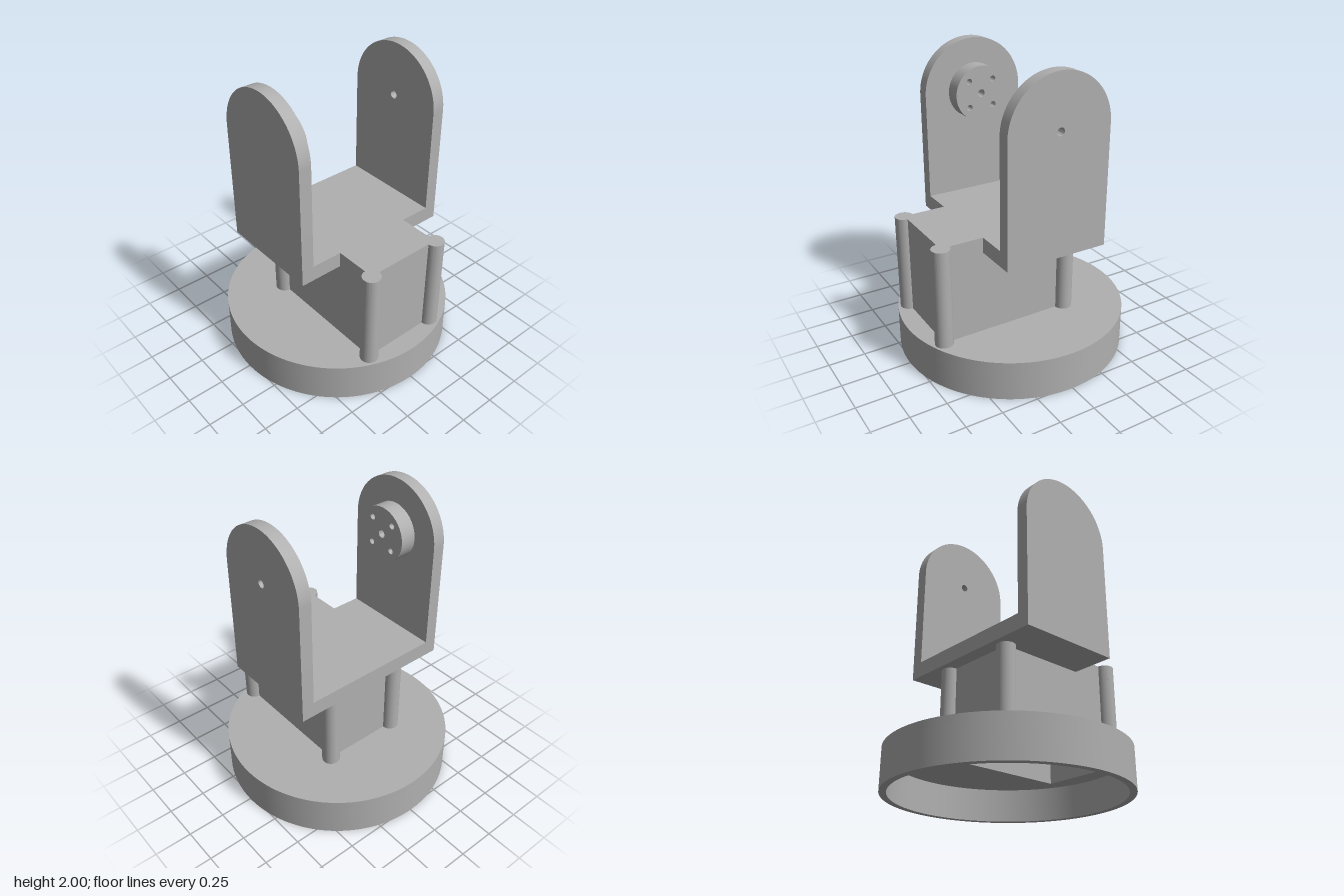
import * as THREE from 'three';
import { toCreasedNormals } from 'three/addons/utils/BufferGeometryUtils.js';

const HALF_W = 0.355, OUTER_Z = 0.565, INNER_Z = 0.48;
const FLOOR_Y = 0.835, FLOOR_TOP = 0.94, PIVOT_Y = 1.645;
const POST_R = 0.06, BOX_Z = 0.27, BOX_X0 = -0.26, BOX_X1 = 0.645;
const PLATE_Y = 0.22, BASE_TOP = 0.27, BASE_R = 0.775;

const rect = (C, x0, x1, y0, y1) => new C([
  new THREE.Vector2(x0, y0), new THREE.Vector2(x1, y0),
  new THREE.Vector2(x1, y1), new THREE.Vector2(x0, y1),
]);
const circle = (C, x, y, r) => new C().absarc(x, y, r, 0, Math.PI * 2, false);

function extrude(shape, depth, segments = 48) {
  const geo = new THREE.ExtrudeGeometry(shape, { depth, bevelEnabled: false, curveSegments: segments });
  return toCreasedNormals(geo, 0.6);
}

export function createModel() {
  const group = new THREE.Group();
  const grey = new THREE.MeshStandardMaterial({ color: 0xb0b0b0 });
  grey.name = 'plain grey';

  const add = (name, geo, x = 0, y = 0, z = 0) => {
    const mesh = new THREE.Mesh(geo, grey);
    mesh.name = name;
    mesh.position.set(x, y, z);
    group.add(mesh);
    return mesh;
  };
  // Extrude a plan outline upward between two heights
  const slab = (name, shape, y0, y1, segments) =>
    add(name, extrude(shape, y1 - y0, segments).rotateX(-Math.PI / 2), 0, y0, 0);
  const cavity = () => rect(THREE.Path, BOX_X0 + POST_R, BOX_X1 - POST_R, -BOX_Z + POST_R, BOX_Z - POST_R);

  // Round base: hollow rim under a plate with a rectangular opening
  const rim = circle(THREE.Shape, 0, 0, BASE_R);
  rim.holes.push(circle(THREE.Path, 0, 0, 0.73));
  slab('baseRim', rim, 0, PLATE_Y, 96);
  const plate = circle(THREE.Shape, 0, 0, BASE_R);
  plate.holes.push(cavity());
  slab('basePlate', plate, PLATE_Y, BASE_TOP, 96);

  // Hollow housing with a round post at each corner
  const housing = rect(THREE.Shape, BOX_X0, BOX_X1, -BOX_Z, BOX_Z);
  housing.holes.push(cavity());
  slab('housing', housing, BASE_TOP, FLOOR_Y);
  const postHeight = FLOOR_Y - BASE_TOP;
  for (const x of [BOX_X0, BOX_X1]) {
    for (const z of [-BOX_Z, BOX_Z]) {
      add('cornerPost', new THREE.CylinderGeometry(POST_R, POST_R, postHeight, 40),
        x, BASE_TOP + postHeight / 2, z);
    }
  }

  // Bracket floor, extended over the housing and its two outer posts
  const floor = new THREE.Shape();
  floor.moveTo(-HALF_W, -OUTER_Z);
  floor.lineTo(-HALF_W, OUTER_Z);
  floor.lineTo(HALF_W, OUTER_Z);
  floor.lineTo(HALF_W, BOX_Z);
  floor.lineTo(BOX_X1 - POST_R, BOX_Z);
  floor.absarc(BOX_X1, BOX_Z, POST_R, Math.PI, -Math.PI / 2, true);
  floor.lineTo(BOX_X1, -BOX_Z + POST_R);
  floor.absarc(BOX_X1, -BOX_Z, POST_R, Math.PI / 2, -Math.PI, true);
  floor.lineTo(HALF_W, -BOX_Z);
  floor.lineTo(HALF_W, -OUTER_Z);
  slab('bracketFloor', floor, FLOOR_Y, FLOOR_TOP);

  // Upright arms with arched tops; only the back one is drilled
  const arm = (drilled) => {
    const s = new THREE.Shape();
    s.moveTo(-HALF_W, FLOOR_TOP);
    s.lineTo(HALF_W, FLOOR_TOP);
    s.lineTo(HALF_W, PIVOT_Y);
    s.absarc(0, PIVOT_Y, HALF_W, 0, Math.PI, false);
    if (drilled) s.holes.push(circle(THREE.Path, 0, PIVOT_Y, 0.026));
    return extrude(s, OUTER_Z - INNER_Z);
  };
  add('frontArm', arm(false), 0, 0, INNER_Z);
  add('backArm', arm(true), 0, 0, -OUTER_Z);

  // Mounting hub on the inside of the front arm, with five holes
  const hub = circle(THREE.Shape, 0, 0, 0.185);
  hub.holes.push(circle(THREE.Path, 0, 0, 0.026));
  for (const x of [-0.088, 0.088]) {
    for (const y of [-0.088, 0.088]) hub.holes.push(circle(THREE.Path, x, y, 0.02));
  }
  add('mountingHub', extrude(hub, 0.11), 0, PIVOT_Y + 0.003, INNER_Z - 0.11);

  return group;
}
